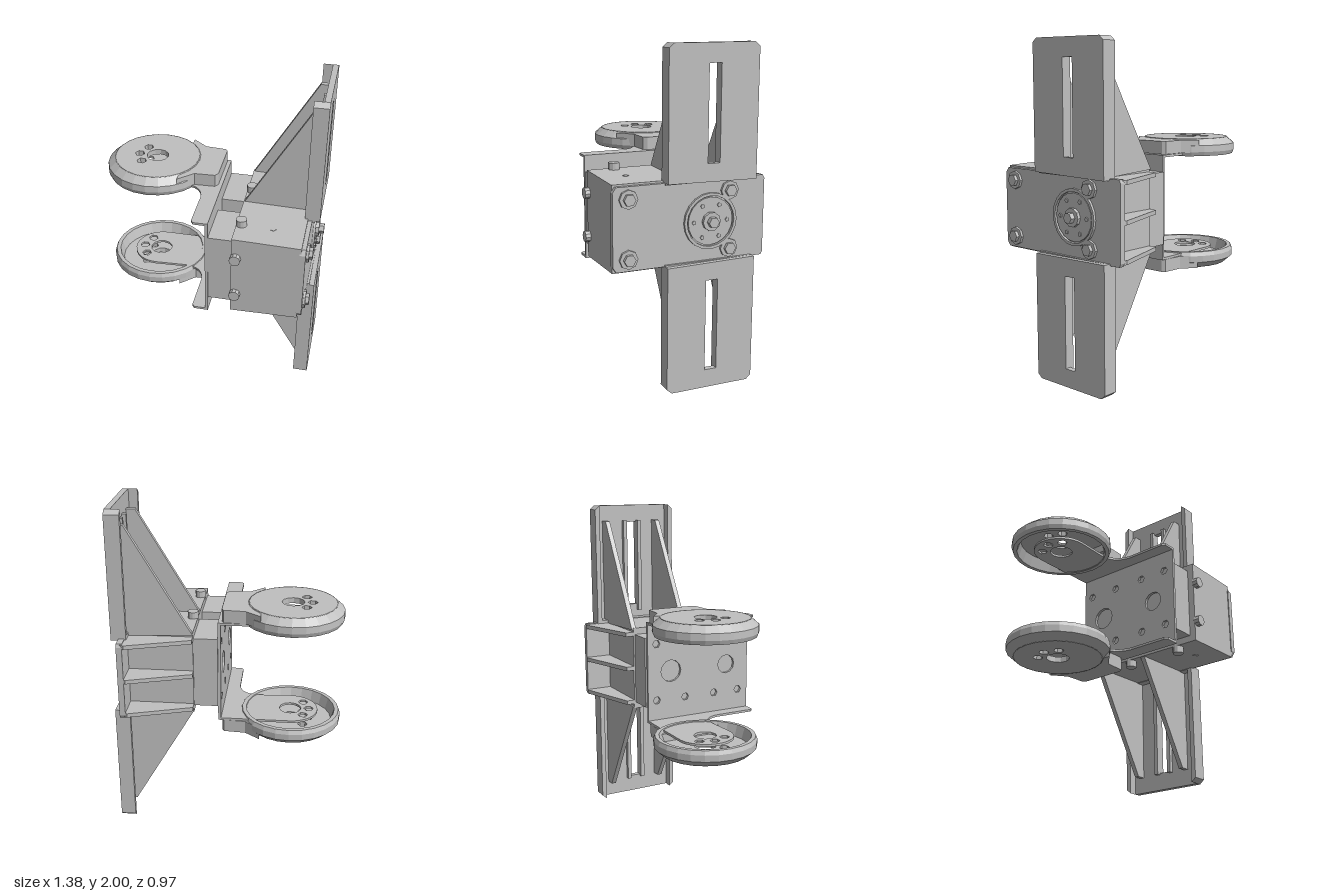
import * as THREE from 'three';

const grey = new THREE.MeshStandardMaterial({ color: 0xc0c0c0 });
grey.name = 'light grey plastic';

const polygon = (pts) => new THREE.Shape(pts.map(([a, b]) => new THREE.Vector2(a, b)));
const hole = (pts) => new THREE.Path(pts.map(([a, b]) => new THREE.Vector2(a, b)));
const circlePts = (a, b, r, n) => Array.from({ length: n }, (_, i) => {
  const t = (i / n) * Math.PI * 2;
  return [a + r * Math.cos(t), b + r * Math.sin(t)];
});
const rectPts = (a0, a1, b0, b1) => [[a0, b0], [a1, b0], [a1, b1], [a0, b1]];
const extrude = (shape, depth) =>
  new THREE.ExtrudeGeometry(shape, { depth, bevelEnabled: false, curveSegments: 8 });

// Slabs from outlines: (x,z) along y, (z,y) along x, (x,y) along z
const slabY = (s, y0, y1) => extrude(s, y1 - y0).rotateX(Math.PI / 2).translate(0, y1, 0);
const slabX = (s, x0, x1) => extrude(s, x1 - x0).rotateY(-Math.PI / 2).translate(x1, 0, 0);
const slabZ = (s, z0, z1) => extrude(s, z1 - z0).translate(0, 0, z0);
const box = (x0, x1, y0, y1, z0, z1) => new THREE.BoxGeometry(x1 - x0, y1 - y0, z1 - z0)
  .translate((x0 + x1) / 2, (y0 + y1) / 2, (z0 + z1) / 2);

// Flat-faced copy, reflected through y = 1 when asked
function faceted(geo, mirrored) {
  const g = geo.index ? geo.toNonIndexed() : geo.clone();
  if (mirrored) {
    const p = g.attributes.position;
    for (let i = 0; i < p.count; i++) p.setY(i, 2 - p.getY(i));
    for (let i = 0; i < p.count; i += 3) {
      const b = new THREE.Vector3().fromBufferAttribute(p, i + 1);
      const c = new THREE.Vector3().fromBufferAttribute(p, i + 2);
      p.setXYZ(i + 1, c.x, c.y, c.z);
      p.setXYZ(i + 2, b.x, b.y, b.z);
    }
  }
  g.computeVertexNormals();
  return g;
}

export function createModel() {
  const model = new THREE.Group();
  const add = (name, geo, mirrored = false) => {
    const mesh = new THREE.Mesh(faceted(geo, mirrored), grey);
    mesh.name = name;
    model.add(mesh);
  };
  const addPair = (name, geo) => {
    add('upper ' + name, geo);
    add('lower ' + name, geo, true);
  };

  // Motor housing, narrowing slightly toward its outer face
  const housing = new THREE.BoxGeometry(0.4, 0.52, 0.775).translate(0.4, 1, 0.0675);
  const hp = housing.attributes.position;
  for (let i = 0; i < hp.count; i++) {
    if (hp.getX(i) > 0.4) hp.setY(i, 1 + (hp.getY(i) - 1) * 0.965);
  }
  add('housing', housing);
  add('housing face', slabX(polygon([[0.44, 0.76], [0.46, 0.79], [0.46, 1.21], [0.44, 1.24],
    [-0.47, 1.24], [-0.48, 1.22], [-0.48, 0.78], [-0.47, 0.76]]), 0.59, 0.625));

  // Ribs of the rear side pocket
  for (const y of [0.77, 0.99, 1.21]) {
    add('pocket rib', slabY(polygon([[0.2, -0.3], [0.2, -0.37], [0.58, -0.485],
      [0.61, -0.47], [0.61, -0.3]]), y, y + 0.025));
  }

  // Mounting wings: slotted face, side lips and triangular gussets
  const wing = polygon([[0.15, 1.24], [0.15, 1.975], [0.12, 2], [-0.37, 2], [-0.4, 1.975], [-0.4, 1.23]]);
  wing.holes.push(hole(rectPts(-0.165, -0.09, 1.34, 1.89)));
  addPair('wing face', slabX(wing, 0.635, 0.67));
  addPair('wing front lip', slabX(polygon([[0.15, 1.24], [0.15, 1.975], [0.12, 2], [0.12, 1.24]]), 0.58, 0.64));
  addPair('wing rear lip', slabX(polygon([[-0.4, 1.23], [-0.37, 1.23], [-0.37, 2], [-0.4, 1.975]]), 0.58, 0.64));
  addPair('wing foot', box(0.58, 0.64, 1.23, 1.255, -0.4, 0.15));
  const gusset = polygon([[0.2, 1.25], [0.64, 1.23], [0.64, 1.9], [0.58, 1.9]]);
  for (const z of [0.025, -0.33]) addPair('wing gusset', slabZ(gusset, z, z + 0.03));
  // Raised frame behind each slot
  for (const z of [-0.19, -0.09]) addPair('slot frame', box(0.61, 0.64, 1.3, 1.9, z, z + 0.025));

  // Output hub with its screws on the housing face
  const disc = (r, x0, x1, y, z, n, x = 0) =>
    slabX(polygon(circlePts(z, y, r, n)), x0, x1).translate(x, 0, 0);
  const ring = polygon(circlePts(-0.13, 1, 0.165, 20));
  ring.holes.push(hole(circlePts(-0.13, 1, 0.148, 20)));
  add('hub ring', slabX(ring, 0.62, 0.64));
  add('hub disc', disc(0.14, 0.62, 0.635, 1, -0.13, 20));
  add('hub boss', disc(0.055, 0.63, 0.655, 1, -0.13, 10));
  add('hub screw', disc(0.032, 0.65, 0.685, 1, -0.13, 6));
  for (const [z, y] of circlePts(-0.13, 1, 0.105, 6)) {
    add('hub rivet', disc(0.013, 0.63, 0.642, y, z, 5));
  }

  // Corner bolts
  for (const z of [0.37, -0.25]) {
    addPair('bolt washer', disc(0.055, 0.6, 0.64, 1.17, z, 8));
    addPair('bolt head', disc(0.035, 0.64, 0.66, 1.17, z, 6));
  }

  // Studs on the front, pins and rivets on the top and bottom
  addPair('front stud', slabZ(polygon(circlePts(0.225, 1.13, 0.033, 10)), 0.45, 0.485));
  for (const z of [-0.07, 0.3]) {
    addPair('housing pin', slabY(polygon(circlePts(0.23, z, 0.033, 12)), 1.24, 1.3));
    addPair('housing rivet', slabY(polygon(circlePts(0.415, z, 0.02, 5)), 1.24, 1.258));
  }

  // Two neck blocks between housing and bracket
  add('rear neck block', box(0.055, 0.21, 0.78, 1.22, -0.31, 0));
  add('front neck block', box(0.055, 0.21, 0.78, 1.22, 0.12, 0.415));

  // U-shaped bracket: upright plate with cut-outs and two arms
  const plate = polygon(rectPts(-0.3, 0.42, 0.69, 1.31));
  plate.holes.push(hole(circlePts(-0.14, 1, 0.07, 12)), hole(circlePts(0.26, 1, 0.06, 12)));
  for (const z of [-0.24, -0.04, 0.17, 0.35]) {
    for (const y of [0.82, 1.18]) plate.holes.push(hole(circlePts(z, y, 0.025, 6)));
  }
  add('bracket plate', slabX(plate, 0.038, 0.055));

  const holePts = [[-0.38, -0.13, 0.068, 12], [-0.46, -0.215, 0.03, 6],
    [-0.495, -0.13, 0.03, 6], [-0.46, -0.045, 0.03, 6]];
  const arm = new THREE.Shape();
  arm.moveTo(0.055, -0.3);
  arm.lineTo(0.055, 0.42);
  arm.lineTo(-0.03, 0.42);
  arm.lineTo(-0.045, 0.4);
  arm.lineTo(-0.045, 0.15);
  arm.quadraticCurveTo(-0.06, 0.03, -0.18, 0.03);
  arm.lineTo(-0.38, 0.04);
  arm.absarc(-0.38, -0.13, 0.17, Math.PI / 2, Math.PI * 1.5, false);
  for (const h of holePts) arm.holes.push(hole(circlePts(...h)));
  addPair('bracket arm', slabY(arm, 1.306, 1.32));

  // Round end caps: hollow bevelled rim, pierced top and connecting neck
  const rim = [[0.275, 1.3], [0.3, 1.3], [0.31, 1.325], [0.308, 1.365], [0.262, 1.405],
    [0.255, 1.37], [0.275, 1.3]].map(([r, y]) => new THREE.Vector2(r, y));
  addPair('cap rim', new THREE.LatheGeometry(rim, 24).translate(-0.38, 0, -0.13));
  const cap = polygon(circlePts(-0.38, -0.13, 0.264, 24));
  for (const h of holePts) cap.holes.push(hole(circlePts(...h)));
  addPair('cap top', slabY(cap, 1.37, 1.404));
  const neck = polygon([[-0.2, -0.375], [-0.11, -0.305], [0.02, -0.295], [0.032, -0.275],
    [0.032, 0.0], [0.015, 0.025], [-0.11, 0.03], [-0.2, 0.115]]);
  addPair('cap neck', slabY(neck, 1.322, 1.4));

  return model;
}
